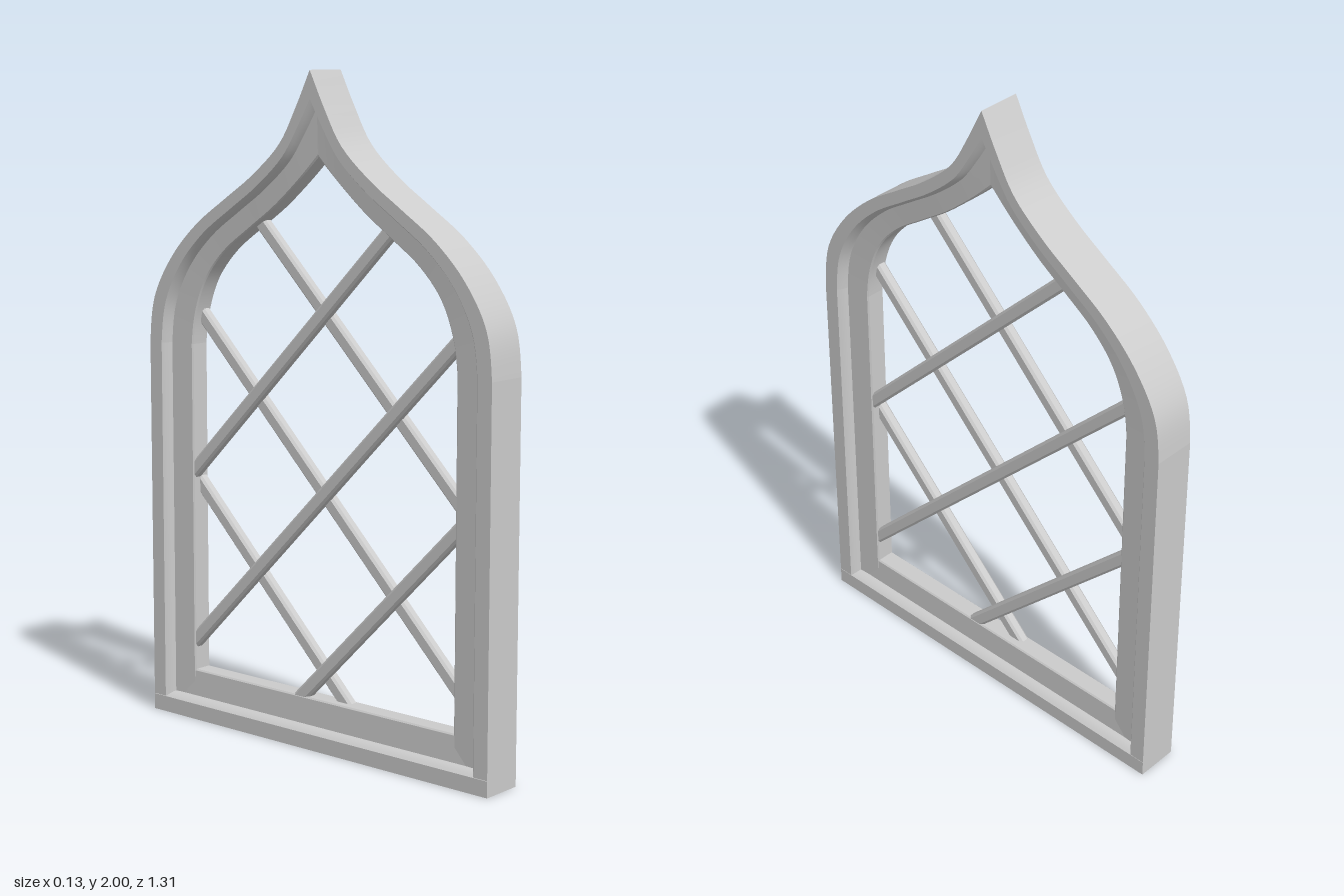
import * as THREE from 'three';
import { toCreasedNormals } from 'three/addons/utils/BufferGeometryUtils.js';

const material = new THREE.MeshStandardMaterial({ color: 0xcccccc });

// Moulding section: [x, t], t runs from the outer edge (0) to the opening (1)
const half = [[0.067, 0], [0.067, 0.33], [0.058, 0.385], [0.045, 0.425], [0.036, 0.435], [0.032, 0.97], [0.028, 1]];
const section = [...half, ...half.map(([x, t]) => [-x, t]).reverse()];

// Outer and inner outlines of one arch half as [z, y]; the first pair only steers the tangent
const outerPts = [[0.657, 1.05], [0.657, 1.17], [0.636, 1.31], [0.562, 1.435], [0.456, 1.54],
  [0.335, 1.622], [0.225, 1.695], [0.117, 1.79], [0.053, 1.896], [0, 2]];
const innerPts = [[0.509, 1.05], [0.509, 1.17], [0.492, 1.275], [0.45, 1.375], [0.375, 1.46],
  [0.27, 1.535], [0.175, 1.6], [0.09, 1.67], [0.04, 1.715], [0, 1.753]];
const curve = (pts) => new THREE.CatmullRomCurve3(pts.map(([z, y]) => new THREE.Vector3(0, y, z)));

function mesh(name, geometry, crease = 0.5) {
  const m = new THREE.Mesh(toCreasedNormals(geometry, crease), material);
  m.name = name;
  return m;
}

// Sweep the section between paired outer and inner points; side = -1 mirrors in z
function loft(outer, inner, side) {
  const n = section.length;
  const positions = [];
  const index = [];
  outer.forEach((o, i) => {
    for (const [x, t] of section) {
      const p = o.clone().lerp(inner[i], t);
      positions.push(x, p.y, p.z * side);
    }
    if (i === 0) return;
    for (let j = 0; j < n; j++) {
      const k = (j + 1) % n;
      const a = (i - 1) * n + j, b = (i - 1) * n + k, c = i * n + k, d = i * n + j;
      if (side > 0) index.push(a, b, c, a, c, d);
      else index.push(a, c, b, a, d, c);
    }
  });
  const g = new THREE.BufferGeometry();
  g.setAttribute('position', new THREE.Float32BufferAttribute(positions, 3));
  g.setIndex(index);
  return g;
}

// Straight bar with chamfered edges, its length along z
function barGeometry(length) {
  const w = 0.021, d = 0.017, c = 0.007;
  const shape = new THREE.Shape([
    [d, -w + c], [d, w - c], [d - c, w], [-d + c, w],
    [-d, w - c], [-d, -w + c], [-d + c, -w], [d - c, -w],
  ].map(([x, y]) => new THREE.Vector2(x, y)));
  return new THREE.ExtrudeGeometry(shape, { depth: length, bevelEnabled: false }).translate(0, 0, -length / 2);
}

export function createModel() {
  const group = new THREE.Group();
  group.name = 'ogeeWindow';

  // Jambs and the two halves of the ogee arch
  const outerCurve = curve(outerPts), innerCurve = curve(innerPts);
  const steps = 40, t0 = 1 / (outerPts.length - 1);
  const sample = (c) => Array.from({ length: steps + 1 }, (_, i) => c.getPoint(t0 + (1 - t0) * i / steps));
  const outerArch = sample(outerCurve), innerArch = sample(innerCurve);
  const line = (z) => [new THREE.Vector3(0, 0.05, z), new THREE.Vector3(0, 1.17, z)];
  for (const side of [1, -1]) {
    const label = side > 0 ? 'front' : 'back';
    group.add(mesh(label + 'Jamb', loft(line(0.657), line(0.509), side)));
    group.add(mesh(label + 'Arch', loft(outerArch, innerArch, side)));
  }

  // Sill, with its upper rail slightly thinner than the jambs
  const sillShape = new THREE.Shape(section.map(([x, t]) =>
    new THREE.Vector2(t > 0.43 ? x * 0.95 : x, t * 0.147)));
  const sill = new THREE.ExtrudeGeometry(sillShape, { depth: 1.314, bevelEnabled: false });
  group.add(mesh('sill', sill.translate(0, 0, -0.657)));

  // Diagonal lattice: rising bars on the +x side, falling bars on the -x side
  const lattice = new THREE.Group();
  lattice.name = 'lattice';
  const spans = [ // height at z = 0, start and end across the opening
    [1.295, -0.53, 0.285],
    [0.757, -0.53, 0.53],
    [0.22, -0.1, 0.53],
  ];
  for (const dir of [1, -1]) {
    for (const [height, from, to] of spans) {
      const bar = mesh('latticeBar', barGeometry((to - from) * Math.SQRT2));
      const mid = (from + to) / 2;
      bar.position.set(dir * 0.012, height + mid, -dir * mid);
      bar.rotation.x = dir * Math.PI / 4;
      lattice.add(bar);
    }
  }
  group.add(lattice);
  return group;
}
